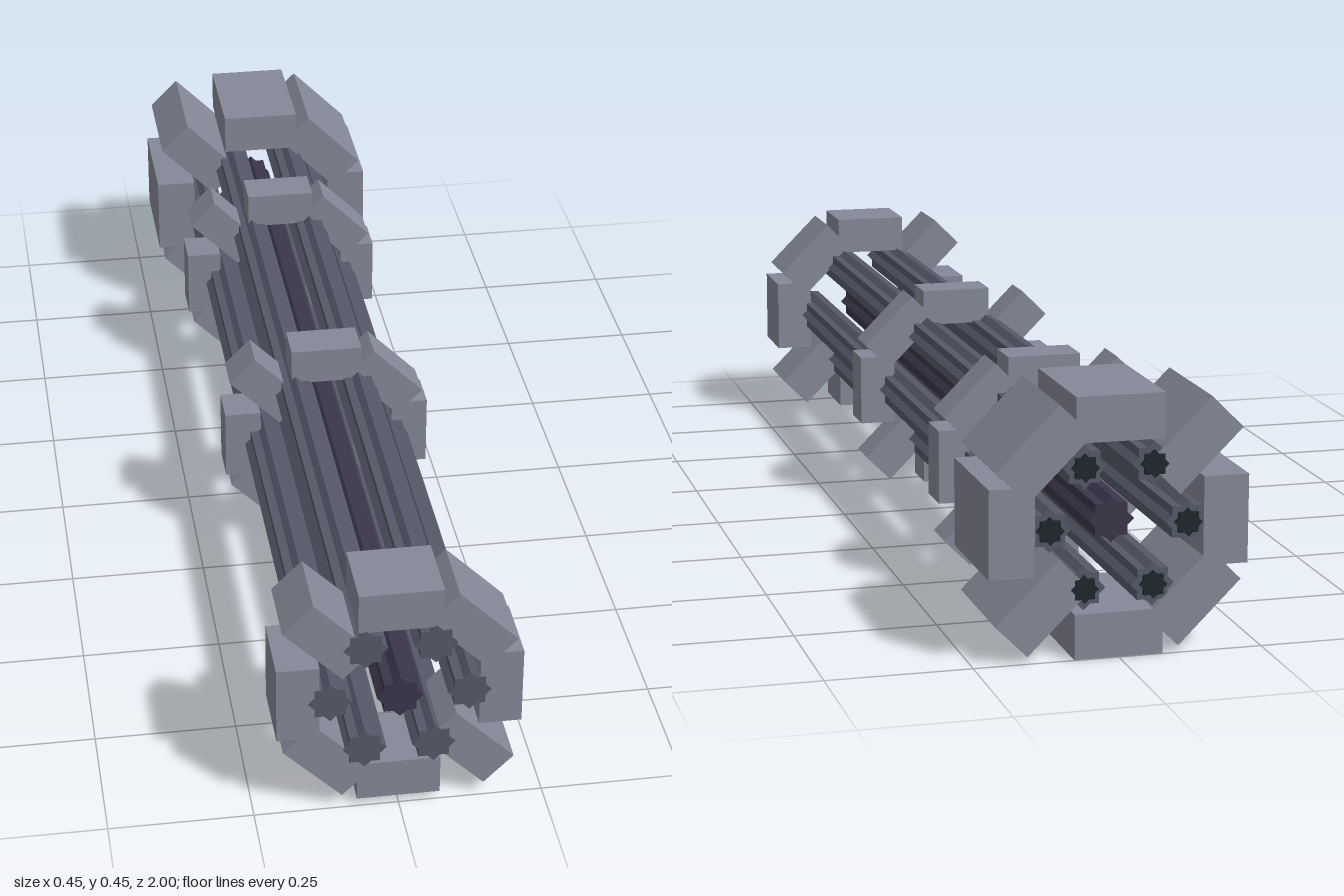
import * as THREE from 'three';

const material = (name, color) => {
  const m = new THREE.MeshStandardMaterial({ color });
  m.name = name;
  return m;
};

export function createModel() {
  const clampGrey = material('clamp grey', 0x858898);
  const barrelSteel = material('barrel steel', 0x555868);
  const coreViolet = material('core violet', 0x3b354a);
  const boreBlack = material('bore black', 0x1b282c);

  const model = new THREE.Group();
  model.name = 'barrelCluster';
  const centreY = 0.2235;

  const addBox = (parent, name, mat, size, position, turn) => {
    const mesh = new THREE.Mesh(new THREE.BoxGeometry(...size), mat);
    mesh.name = name;
    mesh.position.set(...position);
    mesh.rotation.z = turn;
    parent.add(mesh);
  };

  // A rod with an eight-pointed section: two square bars crossed at 45 degrees
  const addStarRod = (name, mat, side, x, y, z0, z1) => {
    const rod = new THREE.Group();
    rod.name = name;
    rod.position.set(x, centreY + y, (z0 + z1) / 2);
    for (const turn of [0, Math.PI / 4]) {
      addBox(rod, name + 'Bar', mat, [side, side, z1 - z0], [0, 0, 0], turn);
    }
    model.add(rod);
  };

  // Clamp of eight blocks; the upper left and lower right ones stand radially
  const addClamp = (name, scale, z0, z1) => {
    const clamp = new THREE.Group();
    clamp.name = name;
    clamp.position.set(0, centreY, (z0 + z1) / 2);
    const radius = 0.1845 * scale;
    for (let i = 0; i < 8; i++) {
      const a = (i * Math.PI) / 4;
      const turn = i === 3 || i === 7 ? a : a + Math.PI / 2;
      addBox(clamp, 'clampBlock', clampGrey, [0.153 * scale, 0.078 * scale, z1 - z0],
        [radius * Math.cos(a), radius * Math.sin(a), 0], turn);
    }
    model.add(clamp);
  };

  addClamp('frontClamp', 0.94, 0.865, 0.998);
  addClamp('forwardMiddleClamp', 0.866, 0.095, 0.172);
  addClamp('rearMiddleClamp', 0.866, -0.54, -0.463);
  addClamp('rearClamp', 1, -0.998, -0.77);

  // Six barrels around the core, each with a dark bore at the rear
  for (let i = 0; i < 6; i++) {
    const a = (i * Math.PI) / 3;
    const x = 0.119 * Math.cos(a), y = 0.119 * Math.sin(a);
    addStarRod('barrel', barrelSteel, 0.053, x, y, -0.992, 1);
    addStarRod('bore', boreBlack, 0.034, x, y, -1, -0.99);
  }

  addStarRod('core', coreViolet, 0.056, 0, 0, -0.95, 1);
  return model;
}
